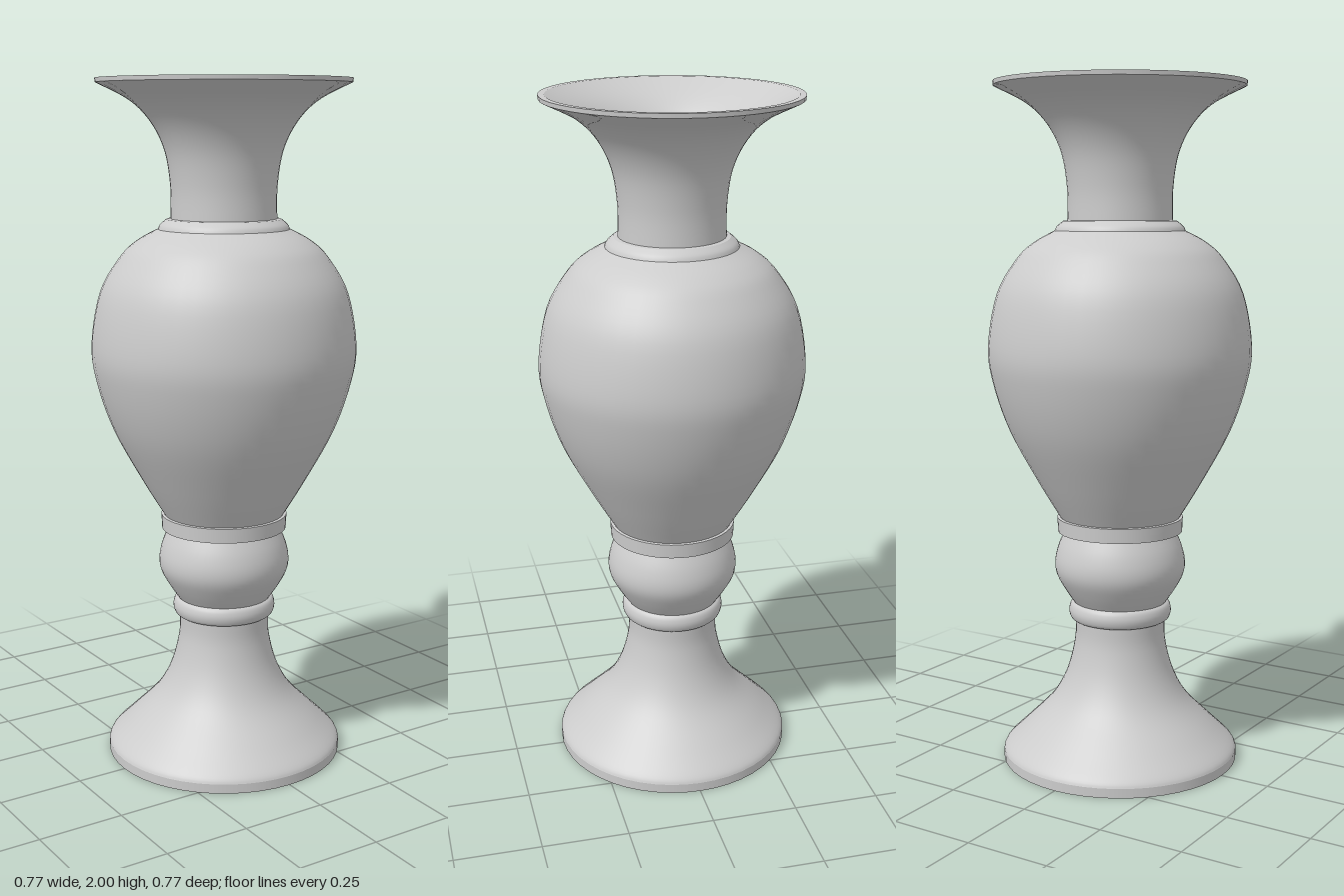
import * as THREE from 'three';
import { mergeGeometries } from 'three/addons/utils/BufferGeometryUtils.js';

const SIDES = 48;
const stone = new THREE.MeshStandardMaterial({ color: 0xcccccc });
stone.name = 'paleGreyStone';

const toPoints = (pairs) => pairs.map(([r, y]) => new THREE.Vector2(r, y));

// Smooth turned surface through a few [radius, height] points
const curved = (pairs, steps = 20) =>
  new THREE.LatheGeometry(new THREE.SplineCurve(toPoints(pairs)).getPoints(steps), SIDES);

// Straight bands with a crisp edge at each point
const straight = (pairs) => mergeGeometries(
  pairs.slice(1).map((p, i) => new THREE.LatheGeometry(toPoints([pairs[i], p]), SIDES)));

export function createModel() {
  const vase = new THREE.Group();
  vase.name = 'vase';
  const add = (name, ...geometries) => {
    const mesh = new THREE.Mesh(mergeGeometries(geometries), stone);
    mesh.name = name;
    vase.add(mesh);
  };

  // Flared foot with a flat underside
  add('foot',
    straight([[0, 0], [0.352, 0], [0.352, 0.028]]),
    curved([[0.352, 0.028], [0.34, 0.047], [0.285, 0.1], [0.205, 0.182], [0.16, 0.265],
      [0.136, 0.36], [0.134, 0.43]], 28));

  // Small rounded ring above the foot
  add('stemRing',
    curved([[0.134, 0.425], [0.147, 0.432], [0.153, 0.453], [0.148, 0.474], [0.138, 0.482]], 12));

  // Bulging knob of the stem
  add('knob',
    curved([[0.138, 0.48], [0.165, 0.52], [0.189, 0.565], [0.194, 0.605], [0.184, 0.65],
      [0.166, 0.692]], 20));

  // Flat collar under the body
  add('collar',
    straight([[0.155, 0.692], [0.185, 0.695], [0.187, 0.738], [0.17, 0.741]]));

  // Egg-shaped body
  add('body',
    curved([[0.178, 0.738], [0.245, 0.85], [0.325, 1.0], [0.372, 1.14], [0.385, 1.25],
      [0.358, 1.4], [0.3, 1.5], [0.25, 1.547], [0.19, 1.58]], 40));

  // Shoulder ring between body and neck
  add('shoulderRing',
    curved([[0.19, 1.579], [0.183, 1.593], [0.165, 1.608]], 8),
    straight([[0.165, 1.608], [0.15, 1.61]]));

  // Trumpet neck
  add('neck',
    curved([[0.153, 1.605], [0.153, 1.7], [0.169, 1.8], [0.208, 1.88], [0.268, 1.94],
      [0.362, 1.988]], 28));

  // Thin lip around the mouth
  add('lip', straight([[0.362, 1.988], [0.363, 2], [0.345, 2]]));

  // Hollow inside, running down from the lip to a flat floor
  add('inside',
    curved([[0.345, 2], [0.255, 1.95], [0.195, 1.89], [0.154, 1.8], [0.137, 1.7], [0.136, 1.6]], 28),
    curved([[0.136, 1.6], [0.24, 1.53], [0.342, 1.4], [0.369, 1.25], [0.309, 1.0], [0.229, 0.85],
      [0.113, 0.76]], 32),
    straight([[0.113, 0.76], [0, 0.76]]));

  return vase;
}
